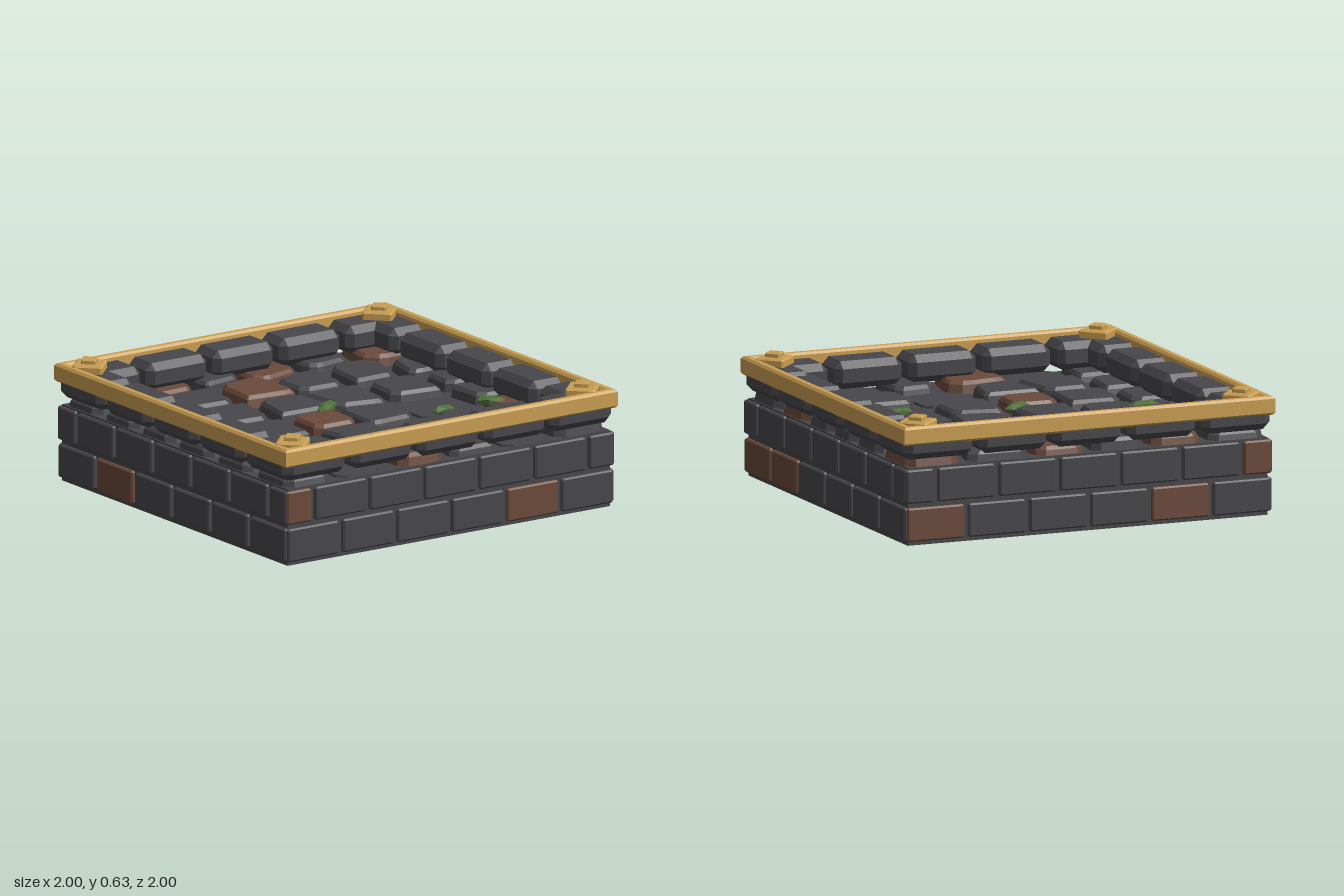
import * as THREE from 'three';
import { ConvexGeometry } from 'three/addons/geometries/ConvexGeometry.js';

const material = (name, color) => {
  const m = new THREE.MeshStandardMaterial({ color });
  m.name = name;
  return m;
};

// Box with every edge cut by c
function chamferBox(w, h, d, c) {
  const pts = [];
  for (const x of [-w / 2, w / 2]) for (const y of [-h / 2, h / 2]) for (const z of [-d / 2, d / 2]) {
    const sx = Math.sign(x) * c, sy = Math.sign(y) * c, sz = Math.sign(z) * c;
    pts.push(new THREE.Vector3(x, y - sy, z - sz), new THREE.Vector3(x - sx, y, z - sz), new THREE.Vector3(x - sx, y - sy, z));
  }
  return new ConvexGeometry(pts);
}

// Keep the part of a polygon where dot(p, n) <= k
function clip(poly, n, k) {
  const out = [];
  poly.forEach((a, i) => {
    const b = poly[(i + 1) % poly.length];
    const da = a.dot(n) - k, db = b.dot(n) - k;
    if (da <= 0) out.push(a);
    if (da * db < 0) out.push(a.clone().lerp(b, da / (da - db)));
  });
  return out;
}

// Paving centres, six rows from back to front, as x, z
const ROWS = [
  [-0.82, -0.83, -0.47, -0.83, -0.19, -0.86, 0.14, -0.82, 0.45, -0.86, 0.82, -0.78],
  [-0.82, -0.5, -0.45, -0.54, -0.13, -0.52, 0.21, -0.53, 0.51, -0.5, 0.83, -0.42],
  [-0.82, -0.2, -0.46, -0.2, -0.16, -0.15, 0.2, -0.18, 0.52, -0.16, 0.84, -0.15],
  [-0.83, 0.13, -0.48, 0.15, -0.17, 0.16, 0.12, 0.17, 0.48, 0.16, 0.84, 0.13],
  [-0.83, 0.46, -0.48, 0.5, -0.17, 0.44, 0.14, 0.5, 0.48, 0.49, 0.82, 0.43],
  [-0.82, 0.8, -0.5, 0.83, -0.12, 0.79, 0.18, 0.85, 0.47, 0.83, 0.8, 0.8],
];
const BROWN_PAVING = [1, 3, 5, 8, 20, 29, 32];
const SUNKEN_PAVING = [22, 27, 31, 34];

// Brown bricks on each face (front, right, back, left), as course-index
const BROWN_BRICKS = [['0-4', '1-0'], ['0-0', '0-1'], ['0-0', '0-4', '1-6'], ['0-1']];

export function createModel() {
  const stone = material('dark stone', 0x47464b);
  const brown = material('brown stone', 0x6b4a3b);
  const gold = material('gold', 0xc99e52);
  const green = material('moss green', 0x4f7038);

  const model = new THREE.Group();
  model.name = 'stoneFloorPlatform';
  const add = (parent, name, geometry, mat, x = 0, y = 0, z = 0) => {
    const mesh = new THREE.Mesh(geometry, mat);
    mesh.name = name;
    mesh.position.set(x, y, z);
    parent.add(mesh);
    return mesh;
  };

  // Solid core
  add(model, 'core', new THREE.BoxGeometry(1.94, 0.39, 1.94), stone, 0, 0.195, 0);

  // Four sides: two brick courses and five rim stones each
  const rimStone = chamferBox(0.365, 0.14, 0.22, 0.035);
  for (let side = 0; side < 4; side++) {
    const wall = new THREE.Group();
    wall.name = ['front', 'right', 'back', 'left'][side] + 'Wall';
    wall.rotation.y = side * Math.PI / 2;
    model.add(wall);
    for (let course = 0; course < 2; course++) {
      for (let i = 0; i < 6 + course; i++) {
        const start = -0.99 + 0.33 * i - 0.165 * course;
        const a = Math.max(start + 0.012, -0.985);
        const b = Math.min(start + 0.318, 0.985);
        const mat = BROWN_BRICKS[side].includes(course + '-' + i) ? brown : stone;
        add(wall, 'brick', chamferBox(b - a, 0.168, 0.1, 0.008), mat, (a + b) / 2, 0.105 + 0.192 * course, 0.942);
      }
    }
    for (let i = -2; i <= 2; i++) add(wall, 'rimStone', rimStone, stone, 0.4 * i, 0.5, 0.882);
  }

  // Irregular paving: each stone fills the area nearest its centre
  const paving = new THREE.Group();
  paving.name = 'paving';
  model.add(paving);
  const sites = ROWS.flatMap(r => [0, 1, 2, 3, 4, 5].map(i => new THREE.Vector2(r[2 * i], r[2 * i + 1])));
  sites.forEach((s, index) => {
    const e = 0.965;
    let poly = [[-e, -e], [e, -e], [e, e], [-e, e]].map(([x, z]) => new THREE.Vector2(x, z));
    for (const t of sites) {
      if (t === s) continue;
      const n = t.clone().sub(s).normalize();
      poly = clip(poly, n, s.clone().add(t).multiplyScalar(0.5).dot(n) - 0.02);
    }
    // Blunt the corners
    const outline = poly.flatMap((p, i) => {
      const prev = poly[(i + poly.length - 1) % poly.length], next = poly[(i + 1) % poly.length];
      return [p.clone().lerp(prev, 0.15), p.clone().lerp(next, 0.15)];
    });
    const sunken = SUNKEN_PAVING.includes(index);
    const top = sunken ? 0.402 : 0.435 + 0.008 * ((index * 7) % 3);
    const layers = sunken ? [[0.38, 1], [top, 0.98]] : [[0.38, 1], [top - 0.018, 0.94], [top, 0.83]];
    const pts = layers.flatMap(([y, k]) => outline.map(p => {
      const q = s.clone().lerp(p, k);
      return new THREE.Vector3(q.x, y, q.y);
    }));
    add(paving, 'pavingStone', new ConvexGeometry(pts), BROWN_PAVING.includes(index) ? brown : stone);
  });

  // Moss clumps: x, y, z, length, width, turn
  const clump = new THREE.IcosahedronGeometry(1, 0);
  for (const [x, y, z, l, w, turn] of [
    [-0.65, 0.445, -0.71, 0.09, 0.06, -0.7],
    [-0.67, 0.445, -0.57, 0.09, 0.06, -0.6],
    [-0.63, 0.445, -0.23, 0.09, 0.055, 0.1],
    [-0.04, 0.445, -0.02, 0.1, 0.045, 0.65],
    [0.47, 0.41, 0.25, 0.07, 0.042, 0.1],
    [0.69, 0.445, 0.35, 0.09, 0.05, -0.9],
  ]) {
    const moss = add(model, 'moss', clump, green, x, y, z);
    moss.scale.set(l, 0.025, w);
    moss.rotation.y = turn;
  }

  // Gold frame with softened edges
  const square = (path, r) => path.moveTo(-r, -r).lineTo(r, -r).lineTo(r, r).lineTo(-r, r).closePath();
  const frame = square(new THREE.Shape(), 0.988);
  frame.holes.push(square(new THREE.Path(), 0.962));
  const frameGeometry = new THREE.ExtrudeGeometry(frame, {
    depth: 0.07, bevelEnabled: true, bevelThickness: 0.012, bevelSize: 0.012, bevelSegments: 1,
  });
  frameGeometry.rotateX(-Math.PI / 2);
  add(model, 'goldFrame', frameGeometry, gold, 0, 0.517, 0);

  // Diamond studs on the corners
  const plate = chamferBox(0.152, 0.05, 0.152, 0.009);
  const stud = chamferBox(0.075, 0.04, 0.075, 0.005);
  for (const x of [-0.873, 0.873]) for (const z of [-0.873, 0.873]) {
    const corner = new THREE.Group();
    corner.name = 'cornerOrnament';
    corner.position.set(x, 0, z);
    corner.rotation.y = Math.PI / 4;
    model.add(corner);
    add(corner, 'diamondPlate', plate, gold, 0, 0.585, 0);
    add(corner, 'diamondStud', stud, gold, 0, 0.612, 0);
  }
  return model;
}
